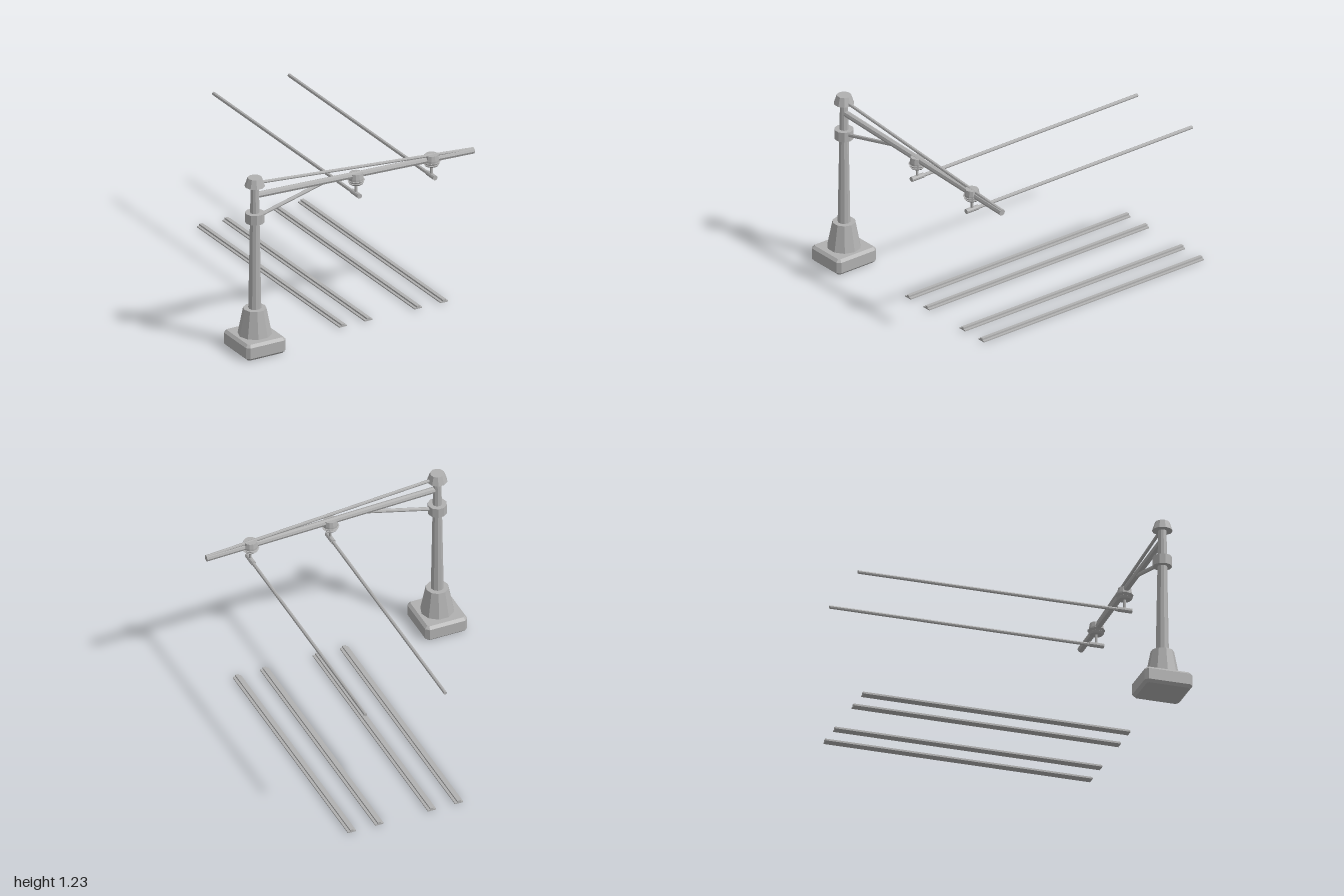
import * as THREE from 'three';

export function createModel() {
  const model = new THREE.Group();
  const grey = new THREE.MeshStandardMaterial({ color: 0xb0b0b0 });
  grey.name = 'grey';
  const MAST_X = -0.75, MAST_Z = 0.835;

  function add(name, geometry, x = 0, y = 0, z = 0) {
    const flat = geometry.index ? geometry.toNonIndexed() : geometry;
    flat.computeVertexNormals(); // faceted look
    const mesh = new THREE.Mesh(flat, grey);
    mesh.name = name;
    mesh.position.set(x, y, z);
    model.add(mesh);
    return mesh;
  }

  // Ten-sided mast section between two heights, with a corner pointing along x
  function mastSection(name, y0, y1, r0, r1) {
    const g = new THREE.CylinderGeometry(r1, r0, y1 - y0, 10).rotateY(Math.PI / 2);
    add(name, g, MAST_X, (y0 + y1) / 2, MAST_Z);
  }

  // Straight rod between two points
  function rod(name, a, b, radius, sides = 8) {
    const from = new THREE.Vector3(...a), to = new THREE.Vector3(...b);
    const dir = to.clone().sub(from);
    const mesh = add(name, new THREE.CylinderGeometry(radius, radius, dir.length(), sides));
    mesh.position.copy(from).add(to).multiplyScalar(0.5);
    mesh.quaternion.setFromUnitVectors(new THREE.Vector3(0, 1, 0), dir.normalize());
  }

  // Chamfered foundation block
  const bevel = 0.018, w = 0.15 - bevel, d = 0.165 - bevel, c = 0.012;
  const outline = new THREE.Shape([
    [-w + c, -d], [w - c, -d], [w, -d + c], [w, d - c],
    [w - c, d], [-w + c, d], [-w, d - c], [-w, -d + c],
  ].map(([x, y]) => new THREE.Vector2(x, y)));
  const block = new THREE.ExtrudeGeometry(outline, {
    depth: 0.112 - 2 * bevel, bevelEnabled: true,
    bevelThickness: bevel, bevelSize: bevel, bevelSegments: 1,
  }).rotateX(-Math.PI / 2);
  add('foundation', block, MAST_X, bevel, MAST_Z);

  // Mast
  mastSection('pedestal', 0.11, 0.295, 0.113, 0.077);
  mastSection('post', 0.29, 1.19, 0.043, 0.027);
  mastSection('collar', 0.908, 0.976, 0.064, 0.064);
  mastSection('cap', 1.165, 1.225, 0.068, 0.048);

  // Arm with its stay and brace
  rod('arm', [-0.73, 1.096, MAST_Z], [0.9, 1.04, MAST_Z], 0.022);
  rod('stayRod', [-0.74, 1.184, MAST_Z], [0.9, 1.053, MAST_Z], 0.011);
  rod('brace', [-0.73, 0.942, MAST_Z], [-0.22, 1.075, MAST_Z], 0.013);

  // Insulator, hanger, clamp and overhead wire above each track
  const profile = [
    [0, 1.006], [0.042, 1.006], [0.053, 1.018], [0.044, 1.019], [0.044, 1.024],
    [0.059, 1.036], [0.05, 1.037], [0.05, 1.05], [0.044, 1.085], [0, 1.085],
  ].map(([r, y]) => new THREE.Vector2(r, y));
  for (const x of [0.014, 0.584]) {
    add('insulator', new THREE.LatheGeometry(profile, 12), x, 0, MAST_Z);
    rod('hanger', [x, 0.93, MAST_Z], [x, 1.01, MAST_Z], 0.009);
    rod('wireClamp', [x, 0.934, MAST_Z - 0.05], [x, 0.934, MAST_Z + 0.05], 0.017, 10);
    rod('overheadWire', [x, 0.932, -1], [x, 0.932, MAST_Z], 0.012);
  }

  // Rails: stepped profile run along z
  const section = new THREE.Shape([
    [-0.029, 0.003], [0.029, 0.003], [0.029, 0.011], [0.012, 0.012],
    [0.012, 0.024], [-0.012, 0.024], [-0.012, 0.012], [-0.029, 0.011],
  ].map(([x, y]) => new THREE.Vector2(x, y)));
  for (const x of [-0.083, 0.11, 0.485, 0.681]) {
    const rail = new THREE.ExtrudeGeometry(section, { depth: 1 + MAST_Z, bevelEnabled: false });
    add('rail', rail, x, 0, -1);
  }

  return model;
}
